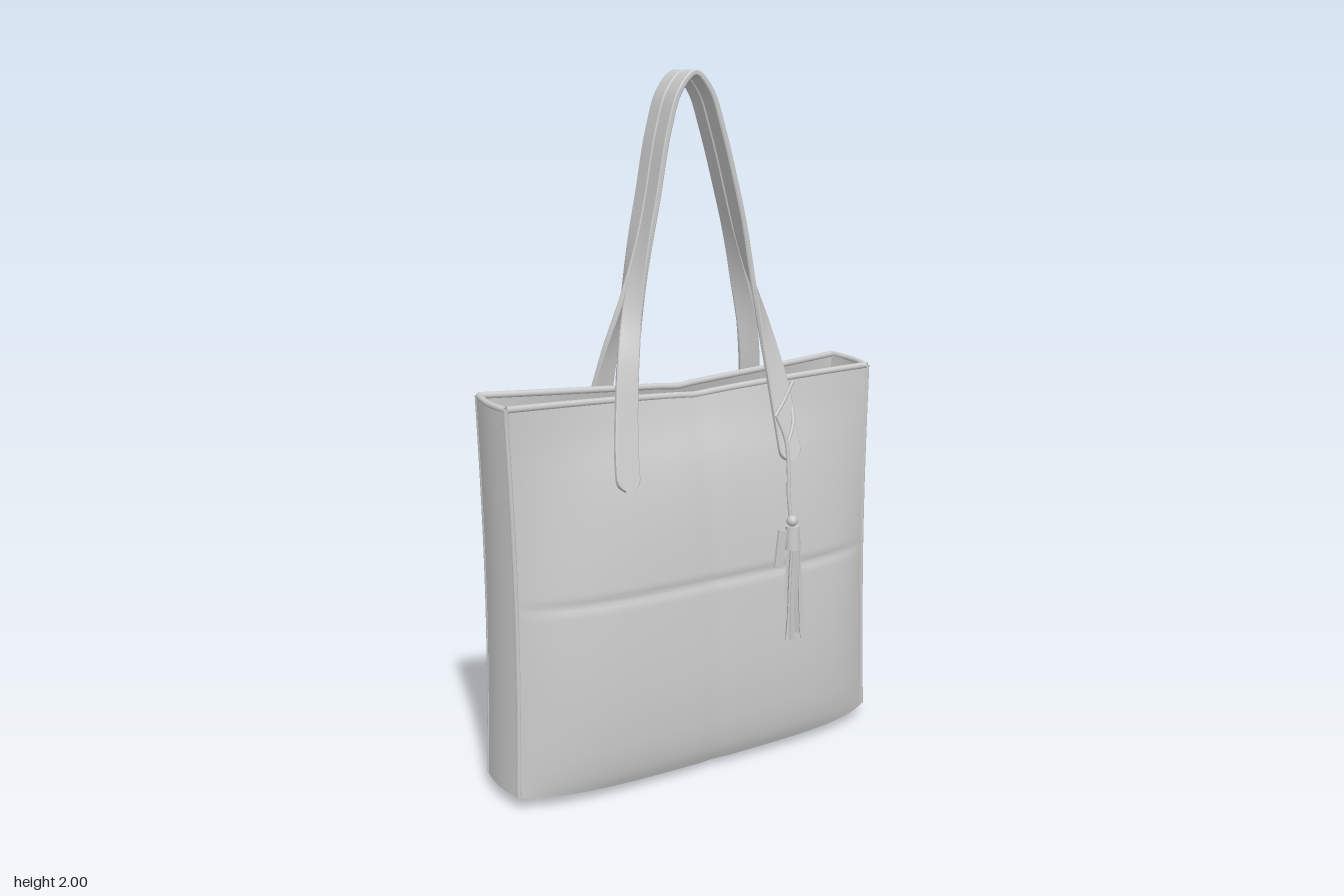
import * as THREE from 'three';
import { toCreasedNormals } from 'three/addons/utils/BufferGeometryUtils.js';

const grey = new THREE.MeshStandardMaterial({ color: 0xcccccc, side: THREE.DoubleSide });
const { lerp, smoothstep } = THREE.MathUtils;
const V = (x, y, z) => new THREE.Vector3(x, y, z);

// Smooth value along the height, from a few knots
function profile(ys, values) {
  const curve = new THREE.CubicInterpolant(ys, values, 1);
  return (y) => curve.evaluate(y)[0];
}

// Surface from a rule (u, v) -> Vector3, both in 0..1
function grid(fn, nu, nv) {
  const pos = [], idx = [];
  for (let j = 0; j <= nv; j++) {
    for (let i = 0; i <= nu; i++) {
      pos.push(...fn(i / nu, j / nv).toArray());
      if (i === nu || j === nv) continue;
      const a = j * (nu + 1) + i, c = a + nu + 1;
      idx.push(a, a + 1, c, a + 1, c + 1, c);
    }
  }
  const geo = new THREE.BufferGeometry();
  geo.setAttribute('position', new THREE.Float32BufferAttribute(pos, 3));
  geo.setIndex(idx);
  geo.computeVertexNormals();
  return geo;
}

// Bag shape: half width, and front and back depth at the middle and the edges
const halfWidth = (y) => 0.607 - 0.012 * Math.sin(Math.PI * y / 1.13);
const middleZ = {
  1: profile([0, 0.06, 0.2, 0.58, 0.8, 0.92, 1.04, 1.15], [0.125, 0.15, 0.165, 0.145, 0.12, 0.095, 0.055, 0.025]),
  '-1': profile([0, 0.06, 0.4, 0.7, 0.9, 1.03, 1.15], [-0.16, -0.165, -0.16, -0.15, -0.13, -0.095, -0.06]),
};
const edgeZ = (side, y) => (side > 0 ? lerp(0.076, 0.062, y / 1.14) : -0.118);

function wallZ(side, x, y, inset = 0) {
  const s = Math.min(1, Math.abs(x) / halfWidth(y));
  const power = lerp(5, 1.6, smoothstep(y, 0.4, 1.1));
  const z = lerp(middleZ[side](y), edgeZ(side, y), s ** power);
  // pressed seam across the middle and a soft fold down the centre
  const seam = 0.006 * Math.exp(-(((y - 0.575) / 0.013) ** 2)) * (1 - s ** 6);
  const fold = 0.004 * Math.exp(-((x / 0.035) ** 2));
  return z - side * (seam + fold + inset);
}
const topY = (side, s) => 1.11 + 0.03 * Math.abs(s) ** 0.8 - (side > 0 ? 0.01 : 0);
const bottomY = (s) => 0.022 + 0.014 * s * s;

// Front or back panel point; s runs -1..1 across, v runs up
function wallPoint(side, s, v, inset = 0) {
  const y = lerp(bottomY(s) + inset, topY(side, s), v);
  const x = s * (halfWidth(y) - inset);
  return V(x, y, wallZ(side, x, y, inset));
}

// Gusset point; t runs from front to back
function gussetPoint(dir, t, v, inset = 0) {
  const p = wallPoint(1, dir, v, inset).lerp(wallPoint(-1, dir, v, inset), t);
  p.x += dir * 0.012 * Math.sin(Math.PI * t);
  return p;
}

// Base point; t runs from back to front
function basePoint(s, t, inset = 0) {
  const p = wallPoint(-1, s, 0, inset).lerp(wallPoint(1, s, 0, inset), t);
  p.y -= 0.022 * (1 - s * s) * 4 * t * (1 - t);
  p.x += s * 0.012 * Math.sin(Math.PI * t);
  return p;
}

export function createModel() {
  const model = new THREE.Group();
  const add = (name, geo, parent = model) => {
    const mesh = new THREE.Mesh(geo, grey);
    mesh.name = name;
    parent.add(mesh);
    return mesh;
  };
  const tube = (name, points, radius, parent = model) =>
    add(name, new THREE.TubeGeometry(new THREE.CatmullRomCurve3(points), 48, radius, 8), parent);
  const sample = (n, fn) => Array.from({ length: n + 1 }, (_, i) => fn(i / n));

  // Panels, outside and lining
  const k = 0.012;
  for (const side of [1, -1]) {
    const name = side > 0 ? 'front' : 'back';
    add(name + 'Panel', grid((u, v) => wallPoint(side, side * (2 * u - 1), v), 48, 100));
    add(name + 'Lining', grid((u, v) => wallPoint(side, side * (1 - 2 * u), v, k), 32, 40));
    tube(name + 'Rim', sample(24, (u) => wallPoint(side, 2 * u - 1, 1, k / 2)), 0.01);
  }
  for (const dir of [1, -1]) {
    const name = dir > 0 ? 'left' : 'right';
    const across = (u) => (dir > 0 ? u : 1 - u);
    add(name + 'Gusset', grid((u, v) => gussetPoint(dir, across(u), v), 12, 40));
    add(name + 'GussetLining', grid((u, v) => gussetPoint(dir, 1 - across(u), v, k), 12, 40));
    tube(name + 'GussetRim', sample(8, (u) => gussetPoint(dir, u, 1, k / 2)), 0.009);
    for (const side of [1, -1]) {
      tube(name + (side > 0 ? 'Front' : 'Back') + 'Piping',
        sample(12, (v) => wallPoint(side, dir, v, 0.003)), 0.007);
    }
  }
  add('base', grid((u, v) => basePoint(2 * u - 1, v), 48, 12));
  add('floorLining', grid((u, v) => basePoint(1 - 2 * u, v, k), 24, 8));

  // Handles: flat straps lying on the panels, turned edge-on towards the top
  const handlePath = [[-0.265, 0.872], [-0.255, 0.98], [-0.236, 1.1], [-0.215, 1.22], [-0.178, 1.38],
    [-0.12, 1.63], [-0.078, 1.84], [-0.042, 1.945], [0.008, 1.992], [0.058, 1.945], [0.098, 1.84],
    [0.15, 1.66], [0.205, 1.45], [0.25, 1.27], [0.274, 1.12], [0.284, 1.0], [0.288, 0.885]];
  const strapSection = [[1, -0.6], [1, 0.6], [0.9, 1], [-0.9, 1], [-1, 0.6], [-1, -0.6], [-0.9, -1], [0.9, -1], [1, -0.6]];
  for (const side of [1, -1]) {
    const points = handlePath.map(([x, y]) => {
      const free = side > 0 ? 0 : -0.061;
      const lying = wallZ(side, x, Math.min(y, 1.12)) + side * 0.011;
      return V(x, y, lerp(lying, free, smoothstep(y, 1.08, 1.4)));
    });
    const curve = new THREE.CatmullRomCurve3(points);
    const length = curve.getLength();
    const strap = grid((u, v) => {
      const p = curve.getPointAt(v), t = curve.getTangentAt(v);
      const turn = side * smoothstep(p.y, 1.05, 1.62) * Math.PI / 2;
      const inPlane = V(t.y, -t.x, 0).normalize();
      const w = inPlane.multiplyScalar(Math.cos(turn)).add(V(0, 0, Math.sin(turn)));
      w.addScaledVector(t, -w.dot(t)).normalize();
      const d = t.clone().cross(w);
      // rounded ends
      const end = Math.min(1, 0.04 + Math.min(v, 1 - v) * length / 0.036);
      const half = lerp(0.037, 0.029, smoothstep(p.y, 0.95, 1.35)) * Math.sqrt(1 - (1 - end) ** 2);
      const [a, b] = strapSection[Math.round(u * 8)];
      return p.addScaledVector(w, a * half).addScaledVector(d, b * 0.008);
    }, 8, 240);
    add(side > 0 ? 'frontHandle' : 'backHandle', toCreasedNormals(strap, 0.7));
  }

  // Tassel hanging from the front handle
  const tassel = new THREE.Group();
  tassel.name = 'tassel';
  model.add(tassel);
  const out = (x, y, gap) => V(x, y, wallZ(1, x, y) + gap);
  tube('cordLoop', [out(0.245, 1.02, 0.024), out(0.28, 1.06, 0.026), out(0.318, 1.11, 0.022),
    out(0.318, 1.09, 0.004), out(0.305, 1.0, 0.024), out(0.275, 0.94, 0.026)], 0.005, tassel);
  tube('cord', [out(0.25, 1.02, 0.024), out(0.268, 0.95, 0.026), out(0.268, 0.86, 0.02),
    out(0.262, 0.78, 0.016), out(0.266, 0.7, 0.014)], 0.006, tassel);
  const knot = add('knot', new THREE.SphereGeometry(0.017, 12, 8), tassel);
  knot.position.set(0.264, 0.715, 0.15);
  const cap = add('cap', new THREE.CylinderGeometry(0.02, 0.025, 0.07, 16), tassel);
  cap.position.set(0.266, 0.665, 0.15);
  const tag = add('tag', new THREE.BoxGeometry(0.028, 0.115, 0.008), tassel);
  tag.position.set(0.224, 0.635, 0.148);
  tag.rotation.z = -0.12;

  // Strands: thin strips fanning out below the cap
  const count = 10;
  for (let i = 0; i < count; i++) {
    const a = (i / count) * Math.PI * 2;
    const length = 0.28 + 0.012 * Math.sin(i * 2.3);
    const strand = new THREE.BoxGeometry(0.014, length, 0.005, 1, 8, 1);
    strand.rotateY(i * 1.1);
    strand.translate(0, -length / 2, 0);
    const p = strand.attributes.position;
    for (let j = 0; j < p.count; j++) {
      const drop = Math.max(0, -p.getY(j) / length);
      const spread = 0.013 + 0.026 * drop ** 1.3;
      p.setX(j, p.getX(j) + Math.cos(a) * spread + 0.004 * Math.sin(drop * 4 + i));
      p.setZ(j, p.getZ(j) + Math.sin(a) * 0.011);
    }
    add('strand', toCreasedNormals(strand, 0.5), tassel).position.set(0.267, 0.64, 0.155);
  }
  return model;
}
